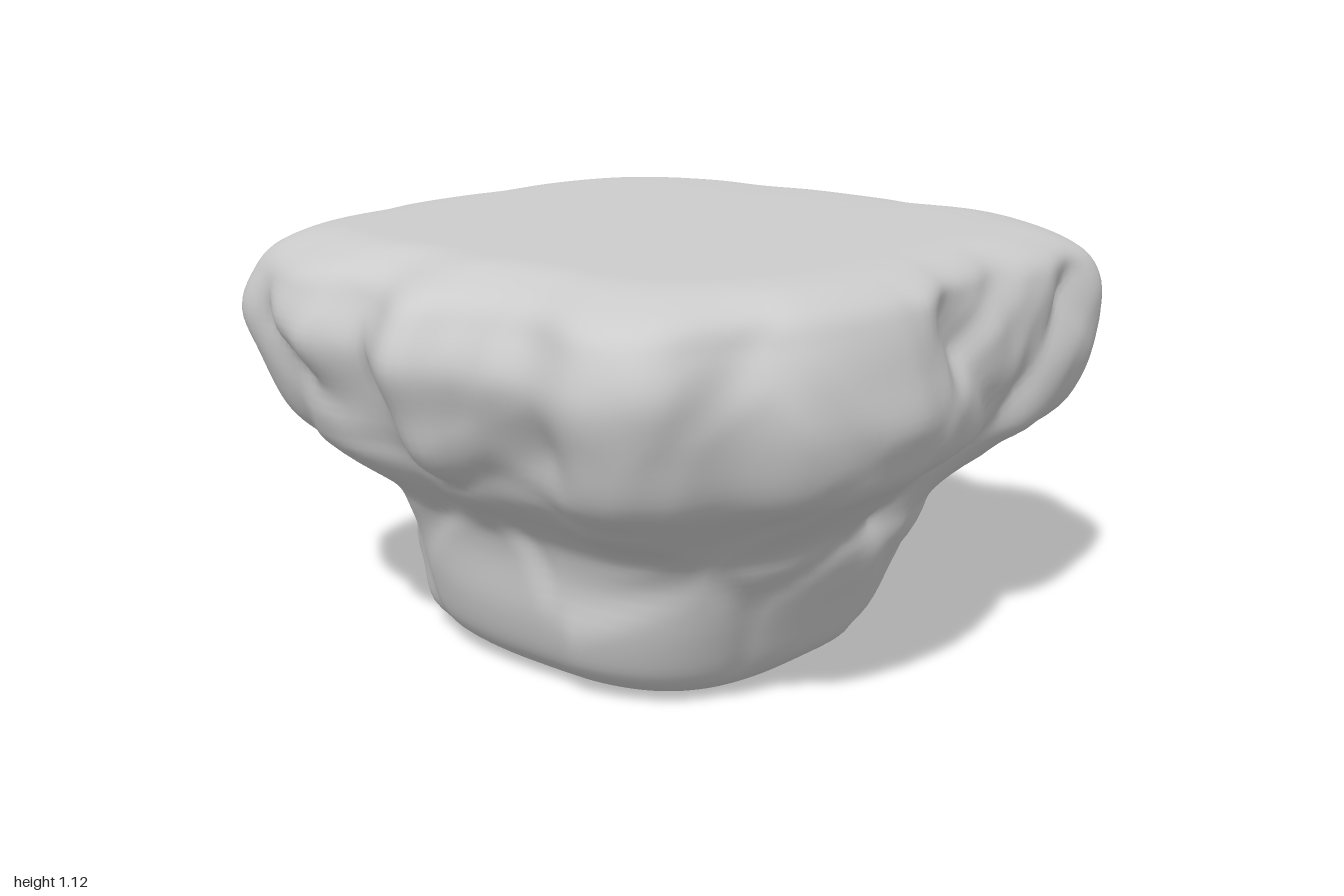
import * as THREE from 'three';

// Plan outline of the overhanging slab as x, z pairs, walked from +x towards +z
const OUTLINE = [
  1.0, -0.1, 0.99, 0.1, 0.96, 0.25, 0.91, 0.37, 0.96, 0.6, 0.87, 0.76, 0.73, 0.9, 0.55, 0.92,
  0.42, 0.93, 0.25, 0.91, 0.15, 0.92, 0, 0.92, -0.1, 0.95, -0.35, 0.95, -0.57, 0.9, -0.7, 0.8,
  -0.9, 0.72, -0.97, 0.58, -0.91, 0.35, -0.93, 0.15, -1.0, 0.02, -0.89, -0.2, -0.92, -0.4,
  -0.85, -0.62, -0.77, -0.83, -0.58, -0.9, -0.38, -0.91, -0.25, -0.96, 0, -0.96, 0.16, -0.92,
  0.4, -0.94, 0.6, -0.88, 0.8, -0.73, 0.93, -0.52, 0.93, -0.3,
];

// Height, reach towards +x, -x, +z, -z, how far the plan follows the slab outline,
// and the added squareness of the plan where it does not
const PROFILE = [
  [0.0, 0.46, 0.44, 0.43, 0.46, 0, 0],
  [0.02, 0.52, 0.5, 0.48, 0.56, 0, 0],
  [0.08, 0.57, 0.56, 0.54, 0.62, 0, 0],
  [0.2, 0.61, 0.6, 0.6, 0.62, 0, 0],
  [0.36, 0.65, 0.62, 0.68, 0.69, 0, 0],
  [0.45, 0.7, 0.67, 0.72, 0.72, 0.1, 0],
  [0.56, 0.86, 0.83, 0.83, 0.82, 0.75, 0],
  [0.65, 0.92, 0.92, 0.93, 0.87, 1, 0.5],
  [0.78, 0.97, 0.96, 0.97, 0.93, 1, 1],
  [0.9, 0.99, 1.0, 0.95, 0.96, 1, 1.4],
  [1.0, 0.96, 0.96, 0.93, 0.93, 1, 1.8],
  [1.06, 0.89, 0.9, 0.9, 0.88, 0.85, 2.2],
  [1.1, 0.8, 0.79, 0.83, 0.81, 0.6, 2.2],
  [1.117, 0.71, 0.71, 0.75, 0.74, 0.45, 2.2],
  [1.12, 0.63, 0.63, 0.69, 0.69, 0.35, 2.2],
];

// Squareness of the foot at each corner
const cornerSquareness = (c, s) => (c > 0 ? (s > 0 ? 2.25 : 3.6) : (s > 0 ? 3.1 : 2.6));

// Deep clefts on the front and right faces
const CLEFTS = [
  [-0.05, 0.98, 0.92, 0.26, 0.66, 0.93], [0.58, 1.0, 0.9, 0.26, 0.66, 0.93],
  [0.26, 0.66, 0.93, 0, 0.44, 0.72], [-0.92, 0.74, 0.42, -0.86, 0.57, 0.05],
  [-0.86, 0.57, 0.05, -0.92, 0.68, -0.28], [-0.92, 0.68, -0.28, -0.85, 0.9, -0.65],
].map((v) => new THREE.Line3(new THREE.Vector3(v[0], v[1], v[2]), new THREE.Vector3(v[3], v[4], v[5])));

function seeded(seed) {
  return () => {
    seed = (seed * 16807) % 2147483647;
    return seed / 2147483647;
  };
}

// Tilted plates scattered round the block; their borders become chiselled creases
function makePlates() {
  const rand = seeded(4177);
  const plates = [];
  [[0.2, 8, 0.6], [0.52, 8, 0.8], [0.78, 11, 0.95], [1.0, 10, 0.9]].forEach(([y, count, r], row) => {
    for (let i = 0; i < count; i++) {
      const a = ((i + row * 0.4 + (rand() - 0.5) * 0.9) / count) * Math.PI * 2;
      plates.push({
        pos: new THREE.Vector3(Math.cos(a) * r, y + (rand() - 0.5) * 0.25, Math.sin(a) * r),
        tilt: new THREE.Vector3(rand() - 0.5, rand() - 0.5, rand() - 0.5).multiplyScalar(0.17),
      });
    }
  });
  return plates;
}

// Blend of the nearest plates, with a shallow groove where two meet, and the clefts
function chisel(p, plates) {
  let first = 9, second = 9, sum = 0, total = 0;
  const d = new THREE.Vector3();
  for (const { pos, tilt } of plates) {
    d.subVectors(p, pos);
    const dist = d.length();
    if (dist < first) {
      second = first;
      first = dist;
    } else if (dist < second) second = dist;
    const w = Math.exp(-dist * 28);
    sum += w * tilt.dot(d);
    total += w;
  }
  const groove = 1 - THREE.MathUtils.smoothstep(second - first, 0, 0.12);
  const gap = Math.min(...CLEFTS.map((line) => line.closestPointToPoint(p, true, d).distanceTo(p)));
  const cleft = Math.max(0, 1 - gap / 0.13) ** 1.5;
  return sum / total - 0.009 * groove - 0.045 * cleft + 0.004;
}

// Catmull-Rom through the profile rows
function profileAt(t) {
  const last = PROFILE.length - 1;
  const k = Math.min(Math.floor(t), last - 1), f = t - k;
  const row = (i) => PROFILE[THREE.MathUtils.clamp(i, 0, last)];
  return PROFILE[k].map((b, c) => {
    const a = row(k - 1)[c], n = row(k + 1)[c], e = row(k + 2)[c];
    const m0 = (n - a) / 2, m1 = (e - b) / 2;
    return b + f * (m0 + f * (3 * (n - b) - 2 * m0 - m1 + f * (2 * (b - n) + m0 + m1)));
  });
}

function rockGeometry(sides = 240, steps = 5) {
  const points = [];
  for (let i = 0; i < OUTLINE.length; i += 2) points.push(new THREE.Vector3(OUTLINE[i], 0, OUTLINE[i + 1]));
  const ring = new THREE.CatmullRomCurve3(points, true).getSpacedPoints(sides).slice(0, sides);
  const plates = makePlates();
  const rows = (PROFILE.length - 1) * steps;
  const pos = [], index = [];
  const p = new THREE.Vector3();

  for (let j = 0; j <= rows; j++) {
    const [y, px, nx, pz, nz, follow, square] = profileAt(j / steps);
    const fade = THREE.MathUtils.smoothstep(y, 0, 0.1) * (1 - THREE.MathUtils.smoothstep(y, 1.02, 1.12));
    for (const q of ring) {
      const len = Math.hypot(q.x, q.z), c = q.x / len, s = q.z / len;
      const rx = c > 0 ? px : nx, rz = s > 0 ? pz : nz;
      // rounded square blended with the slab outline
      const n = cornerSquareness(c, s) + square;
      const block = (Math.abs(c / rx) ** n + Math.abs(s / rz) ** n) ** (-1 / n);
      const slab = len * (c * c * rx + s * s * rz) / (c * c + s * s * 0.96);
      let r = THREE.MathUtils.lerp(block, slab, THREE.MathUtils.clamp(follow, 0, 1));
      p.set(c * r, y, s * r);
      r += fade * chisel(p, plates);
      pos.push(c * r, y, s * r);
    }
  }
  for (let j = 0; j < rows; j++) {
    for (let i = 0; i < sides; i++) {
      const n = (i + 1) % sides;
      const a = j * sides + i, b = j * sides + n, up = a + sides, upNext = b + sides;
      index.push(a, up, b, b, up, upNext);
    }
  }
  // flat underside and flat top
  const bottom = pos.length / 3, top = bottom + 1;
  pos.push(0, 0, 0, 0, 1.12, 0);
  for (let i = 0; i < sides; i++) {
    const n = (i + 1) % sides;
    index.push(bottom, i, n, top, rows * sides + n, rows * sides + i);
  }
  const geometry = new THREE.BufferGeometry();
  geometry.setAttribute('position', new THREE.Float32BufferAttribute(pos, 3));
  geometry.setIndex(index);
  geometry.computeVertexNormals();
  return geometry;
}

export function createModel() {
  const group = new THREE.Group();
  group.name = 'rockPlatform';
  const rock = new THREE.Mesh(rockGeometry(), new THREE.MeshStandardMaterial({ color: 0xcccccc }));
  rock.name = 'overhangingRock';
  group.add(rock);
  return group;
}
